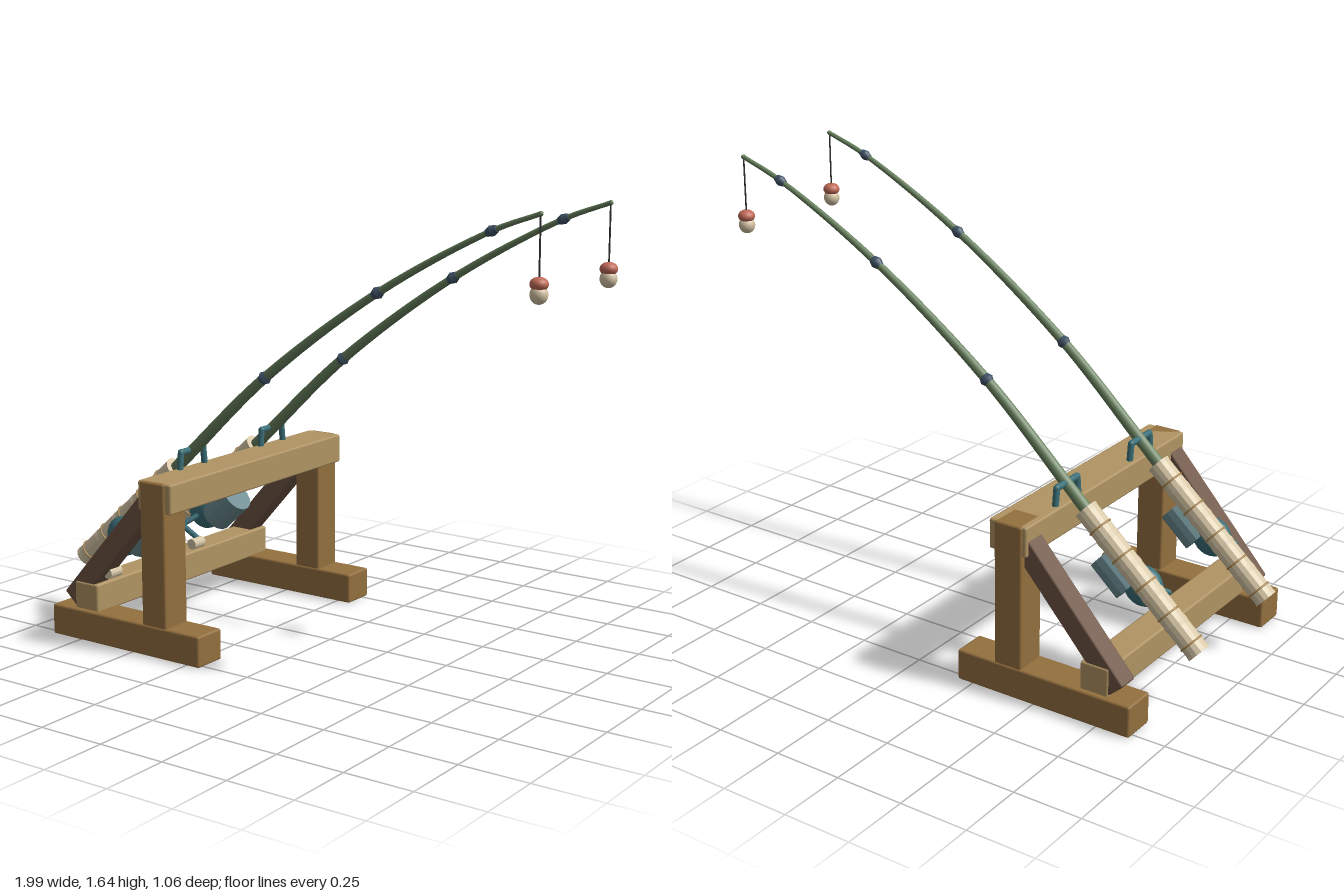
import * as THREE from 'three';
import { RoundedBoxGeometry } from 'three/addons/geometries/RoundedBoxGeometry.js';

const mat = (color, flatShading = false) => new THREE.MeshStandardMaterial({ color, flatShading });
const M = {
  wood: mat(0x94703f), beam: mat(0xb09463), brace: mat(0x6e5443),
  teal: mat(0x3a6f78), spool: mat(0x6a8a90, true), rod: mat(0x667f5c),
  guide: mat(0x3f5266), cream: mat(0xd6c6a6), band: mat(0xb08a52),
  red: mat(0xc06a58), line: mat(0x333333),
};
const V = (x, y, z = 0) => new THREE.Vector3(x, y, z);
const UP = V(0, 1, 0);

function add(parent, name, geometry, material, pos = V(0, 0)) {
  const m = new THREE.Mesh(geometry, material);
  m.name = name;
  m.position.copy(pos);
  parent.add(m);
  return m;
}

// Bevelled timber given by its minimum and maximum corners
function timber(parent, name, a, b, material) {
  const s = b.clone().sub(a);
  return add(parent, name, new RoundedBoxGeometry(s.x, s.y, s.z, 1, 0.008), material, a.clone().add(b).multiplyScalar(0.5));
}

// Cylinder between two points
function rodBetween(parent, name, a, b, r0, r1, material, sides = 12) {
  const d = b.clone().sub(a);
  const m = add(parent, name, new THREE.CylinderGeometry(r1, r0, d.length(), sides), material, a.clone().lerp(b, 0.5));
  m.quaternion.setFromUnitVectors(UP, d.normalize());
  return m;
}

// Chain of round bars with ball joints
function bentBar(parent, name, points, r, material) {
  const g = new THREE.Group();
  g.name = name;
  points.forEach((p, i) => {
    add(g, name + 'Joint', new THREE.SphereGeometry(r, 10, 8), material, p);
    if (i) rodBetween(g, name + 'Bar', points[i - 1], p, r, r, material, 10);
  });
  parent.add(g);
}

// Tube whose radius shrinks from r0 to r1
function taperedTube(curve, n, sides, r0, r1) {
  const geo = new THREE.TubeGeometry(curve, n, 1, sides);
  const p = geo.attributes.position, v = V(0, 0);
  for (let i = 0; i <= n; i++) {
    const c = curve.getPointAt(i / n), r = r0 + (r1 - r0) * i / n;
    for (let j = 0; j <= sides; j++) {
      const k = i * (sides + 1) + j;
      v.fromBufferAttribute(p, k).sub(c).multiplyScalar(r).add(c);
      p.setXYZ(k, v.x, v.y, v.z);
    }
  }
  return geo;
}

function buildFrame() {
  const g = new THREE.Group();
  g.name = 'frame';
  for (const s of [-1, 1]) {
    const z = s * 0.465;
    timber(g, 'foot', V(-0.88, 0, z - 0.065), V(-0.19, 0.115, z + 0.065), M.wood);
    timber(g, 'post', V(-0.45, 0.1, z - 0.06), V(-0.34, 0.64, z + 0.06), M.wood);
    // Slanting brace from the foot to the post
    const a = V(-0.81, 0.14, z), b = V(-0.41, 0.59, z);
    const brace = add(g, 'brace', new RoundedBoxGeometry(a.distanceTo(b), 0.078, 0.08, 1, 0.006), M.brace, a.clone().lerp(b, 0.5));
    brace.rotation.z = Math.atan2(b.y - a.y, b.x - a.x);
  }
  timber(g, 'topBeam', V(-0.465, 0.53, -0.518), V(-0.315, 0.64, 0.518), M.beam);
  timber(g, 'lowerBeam', V(-0.785, 0.107, -0.51), V(-0.675, 0.215, 0.51), M.beam);
  return g;
}

function buildReel() {
  const g = new THREE.Group();
  g.name = 'reel';
  const c = V(-0.705, 0.355, 0.08);
  add(g, 'reelBody', new THREE.SphereGeometry(0.075, 20, 14), M.teal, c).scale.z = 0.65;
  rodBetween(g, 'spool', V(-0.655, 0.335, 0.08), V(-0.55, 0.43, 0.08), 0.062, 0.062, M.spool, 14);
  rodBetween(g, 'reelStem', V(-0.7, 0.37, 0.06), V(-0.69, 0.45, 0.01), 0.02, 0.02, M.teal, 10);
  // Crank arm and grip
  bentBar(g, 'crank', [V(-0.705, 0.345, 0.11), V(-0.752, 0.305, 0.172), V(-0.655, 0.26, 0.182)], 0.011, M.teal);
  rodBetween(g, 'crankGrip', V(-0.652, 0.256, 0.178), V(-0.652, 0.256, 0.238), 0.021, 0.021, M.cream, 10);
  return g;
}

function buildRod() {
  const g = new THREE.Group();
  g.name = 'fishingRod';

  // Bamboo handle: slightly waisted segments with bands at the nodes
  const a = V(-0.972, 0.215), b = V(-0.518, 0.623), dir = b.clone().sub(a).normalize();
  const len = a.distanceTo(b), segs = 5, profile = [new THREE.Vector2(0, 0)];
  for (let i = 0; i < segs; i++) {
    for (const [t, r] of [[0, 0.043], [0.12, 0.041], [0.88, 0.041], [1, 0.043]]) {
      profile.push(new THREE.Vector2(r, (i + t) * len / segs));
    }
  }
  profile.push(new THREE.Vector2(0, len));
  const bamboo = new THREE.LatheGeometry(profile, 14).toNonIndexed();
  bamboo.computeVertexNormals();
  add(g, 'handle', bamboo, M.cream, a).quaternion.setFromUnitVectors(UP, dir);
  for (let i = 0; i < segs; i++) {
    const ring = add(g, 'handleBand', new THREE.TorusGeometry(0.0415, 0.004, 6, 18), M.band,
      a.clone().addScaledVector(dir, (i + 0.35) * len / segs));
    ring.quaternion.setFromUnitVectors(V(0, 0, 1), dir);
  }

  // Bending tapered pole
  const nodes = [V(-0.11, 1.0), V(0.36, 1.335), V(0.79, 1.565)];
  const tip = V(0.963, 1.628);
  const curve = new THREE.CatmullRomCurve3([V(-0.54, 0.603), V(-0.44, 0.697), ...nodes, tip]);
  add(g, 'pole', taperedTube(curve, 40, 10, 0.023, 0.008), M.rod);
  add(g, 'poleTip', new THREE.SphereGeometry(0.009, 10, 8), M.rod, tip);
  // Double-cone ferrules along the pole
  nodes.forEach((p, i) => {
    const next = nodes[i + 1] || tip, prev = i ? nodes[i - 1] : V(-0.44, 0.697);
    const d = next.clone().sub(prev).normalize(), r = 0.025 - i * 0.003;
    const q = p.clone();
    rodBetween(g, 'ferrule', q.clone().addScaledVector(d, -0.02), q, r * 0.65, r, M.guide, 10);
    rodBetween(g, 'ferrule', q, q.clone().addScaledVector(d, 0.02), r, r * 0.65, M.guide, 10);
  });

  // Line and float
  rodBetween(g, 'line', tip, V(0.963, 1.41), 0.003, 0.003, M.line, 6);
  add(g, 'floatTop', new THREE.SphereGeometry(0.031, 18, 12), M.red, V(0.963, 1.409)).scale.y = 0.75;
  add(g, 'floatBottom', new THREE.SphereGeometry(0.03, 18, 12), M.cream, V(0.963, 1.376)).scale.y = 1.05;

  // Staple holding the pole on the top beam
  bentBar(g, 'bracket', [V(-0.442, 0.63, -0.071), V(-0.442, 0.702, -0.063),
    V(-0.442, 0.702, 0.063), V(-0.442, 0.63, 0.071)], 0.012, M.teal);
  g.add(buildReel());
  return g;
}

export function createModel() {
  const model = new THREE.Group();
  model.name = 'rodStand';
  model.add(buildFrame());
  for (const z of [-0.24, 0.24]) {
    const rod = buildRod();
    rod.position.z = z;
    model.add(rod);
  }
  return model;
}
